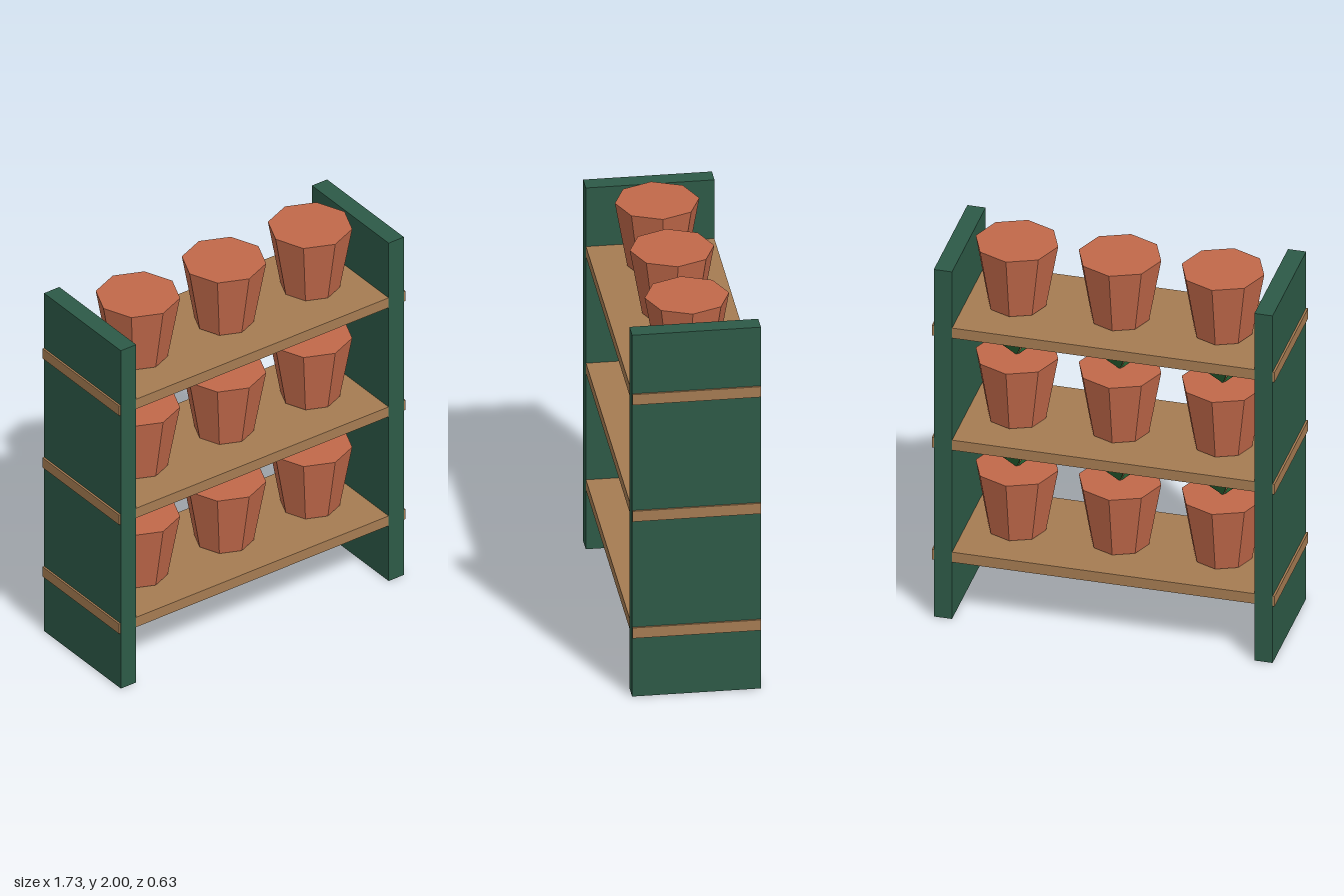
import * as THREE from 'three';

const material = (name, color) => {
  const m = new THREE.MeshStandardMaterial({ color });
  m.name = name;
  return m;
};

// Triangular leaf: apex at the origin, flaring up and outward (+z), flat outer face
function leafGeometry(height) {
  const s = height / 0.24;
  const geo = new THREE.ConeGeometry(1, height, 3).toNonIndexed();
  geo.rotateX(Math.PI);
  geo.translate(0, height / 2, 0);
  geo.scale(0.11 * s, 1, 0.077 * s);
  const p = geo.attributes.position;
  for (let i = 0; i < p.count; i++) p.setZ(i, p.getZ(i) + p.getY(i) * 0.805);
  geo.computeVertexNormals();
  return geo;
}

export function createModel() {
  const green = material('panel green', 0x2d5a47);
  const wood = material('shelf wood', 0xa67c52);
  const clay = material('terracotta', 0xc1694a);
  const leafGreen = material('leaf green', 0x2d6e3a);

  const rack = new THREE.Group();
  rack.name = 'plantRack';
  const add = (parent, name, geo, mat, x, y, z) => {
    const mesh = new THREE.Mesh(geo, mat);
    mesh.name = name;
    mesh.position.set(x, y, z);
    parent.add(mesh);
    return mesh;
  };

  // Side panels
  const panel = new THREE.BoxGeometry(0.092, 1.97, 0.634);
  add(rack, 'leftPanel', panel, green, 0.809, 0.985, 0);
  add(rack, 'rightPanel', panel, green, -0.809, 0.985, 0);

  const shelf = new THREE.BoxGeometry(1.73, 0.057, 0.632);
  const potHeight = 0.345;
  const pot = new THREE.CylinderGeometry(0.208, 0.147, potHeight, 8).toNonIndexed();
  pot.computeVertexNormals();
  const leaf = leafGeometry(0.26);

  for (let row = 0; row < 3; row++) {
    const y = 0.35 + row * 0.636;
    add(rack, 'shelf', shelf, wood, 0, y, 0);

    for (const x of [-0.52, 0, 0.52]) {
      const plant = new THREE.Group();
      plant.name = 'pottedPlant';
      plant.position.set(x, y + 0.033, 0);
      rack.add(plant);
      add(plant, 'pot', pot, clay, 0, potHeight / 2, 0);

      // Leaves reach the shelf above; the top row has bare pots
      if (row < 2) {
        for (let i = 0; i < 4; i++) {
          add(plant, 'leaf', leaf, leafGreen, 0, potHeight - 0.01, 0).rotation.y = i * Math.PI / 2;
        }
      }
    }
  }
  return rack;
}
